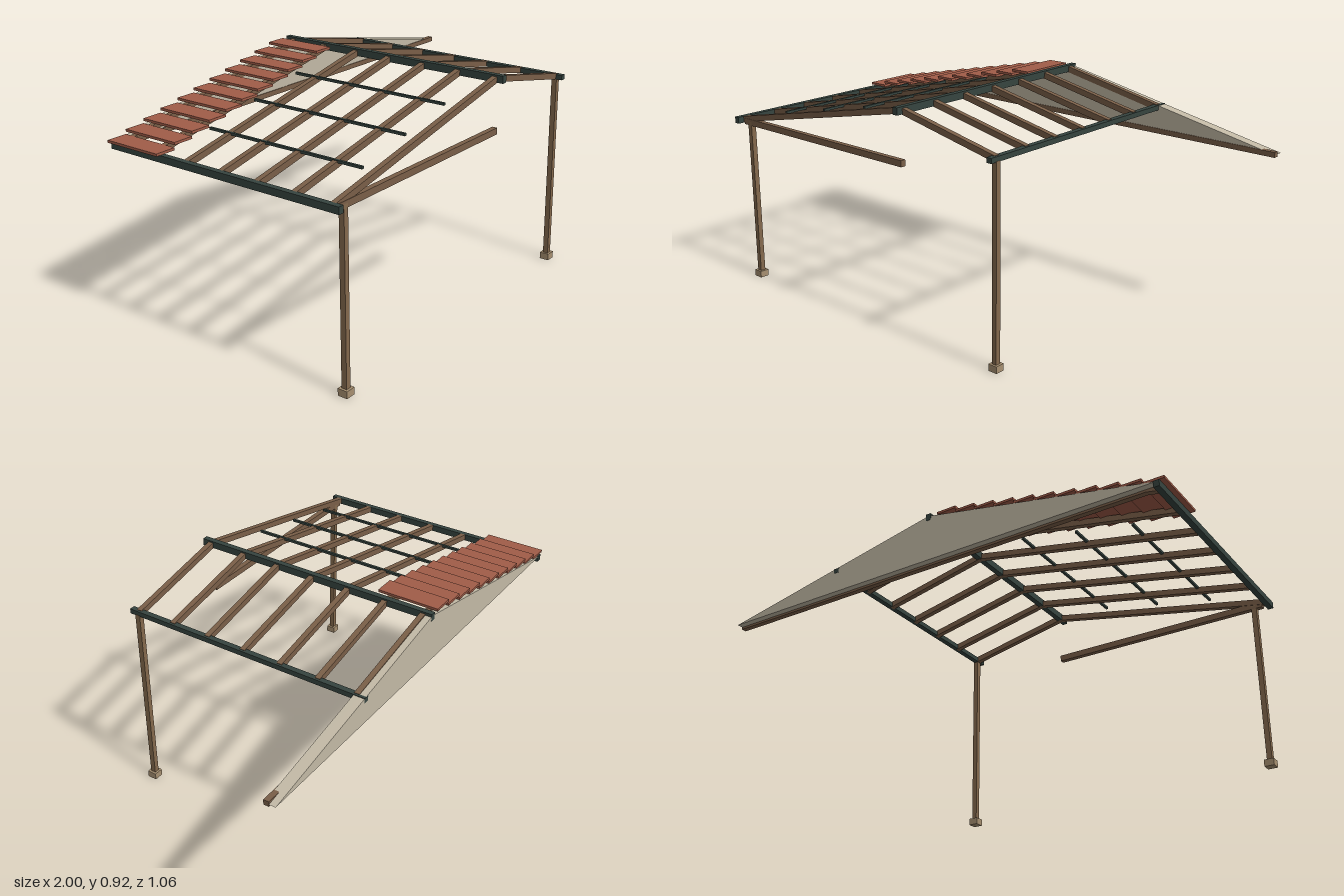
import * as THREE from 'three';

export function createModel() {
  const model = new THREE.Group();
  model.name = 'pavilionRoofFrame';

  const material = (name, color) => {
    const m = new THREE.MeshStandardMaterial({ color });
    m.name = name;
    return m;
  };
  const postWood = material('post wood', 0x84694d);
  const rafterWood = material('rafter wood', 0x7a5f48);
  const darkSteel = material('dark green steel', 0x36443f);
  const boardRed = material('red roof board', 0xa05c48);
  const panelGrey = material('pale gable panel', 0xc3baa6);
  const footStone = material('footing stone', 0xa68f70);

  const box = (name, mat, w, h, d, x, y, z) => {
    const mesh = new THREE.Mesh(new THREE.BoxGeometry(w, h, d), mat);
    mesh.name = name;
    mesh.position.set(x, y, z);
    model.add(mesh);
    return mesh;
  };
  // Beam running between two points of the x-y plane at depth z
  const slopedBeam = (name, x0, y0, x1, y1, z) => {
    const length = Math.hypot(x1 - x0, y1 - y0);
    const beam = box(name, rafterWood, length, 0.024, 0.022, (x0 + x1) / 2, (y0 + y1) / 2, z);
    beam.rotation.z = Math.atan2(y1 - y0, x1 - x0);
  };

  // Front posts on footings
  for (const [x, top] of [[-0.915, 0.7], [0.462, 0.8]]) {
    box('post', postWood, 0.021, top - 0.02, 0.022, x, (top + 0.02) / 2, 0.493);
    box('footing', footStone, 0.04, 0.028, 0.04, x, 0.014, 0.493);
  }

  // Front half tie and full back tie
  box('frontTie', rafterWood, 0.95, 0.026, 0.022, -0.475, 0.697, 0.493);
  box('backTie', rafterWood, 1.97, 0.021, 0.022, 0.015, 0.711, -0.491);

  // Purlins along the eave, ridge and short eave
  for (const [name, x, y, h] of [
    ['leftPurlin', -0.97, 0.702, 0.027],
    ['ridgePurlin', 0, 0.903, 0.029],
    ['rightPurlin', 0.46, 0.807, 0.02],
  ]) box(name, darkSteel, 0.023, h, 1.058, x, y, 0);

  // Seven pairs of rafters
  for (let i = -3; i <= 3; i++) {
    const z = i * 0.1637;
    slopedBeam('leftRafter', -0.962, 0.703, 0, 0.901, z);
    slopedBeam('rightRafter', 0, 0.901, 0.46, 0.807, z);
  }

  // Thin battens above the long slope
  [-0.745, -0.505, -0.265].forEach((x, i) =>
    box('batten', darkSteel, 0.01, 0.01, 0.7, x, 0.757 + i * 0.05, 0.091));

  // Stepped roof boards at the back of the long slope
  for (let i = 0; i < 11; i++) {
    box('roofBoard', boardRed, 0.086, 0.01, 0.255, -0.957 + i * 0.0874, 0.722 + i * 0.0187, -0.398);
  }

  // Triangular gable panel
  const outline = new THREE.Shape([
    new THREE.Vector2(-0.97, 0.71),
    new THREE.Vector2(1, 0.71),
    new THREE.Vector2(0, 0.908),
  ]);
  const gable = new THREE.Mesh(
    new THREE.ExtrudeGeometry(outline, { depth: 0.045, bevelEnabled: false }), panelGrey);
  gable.name = 'gablePanel';
  gable.position.z = -0.528;
  model.add(gable);

  return model;
}
